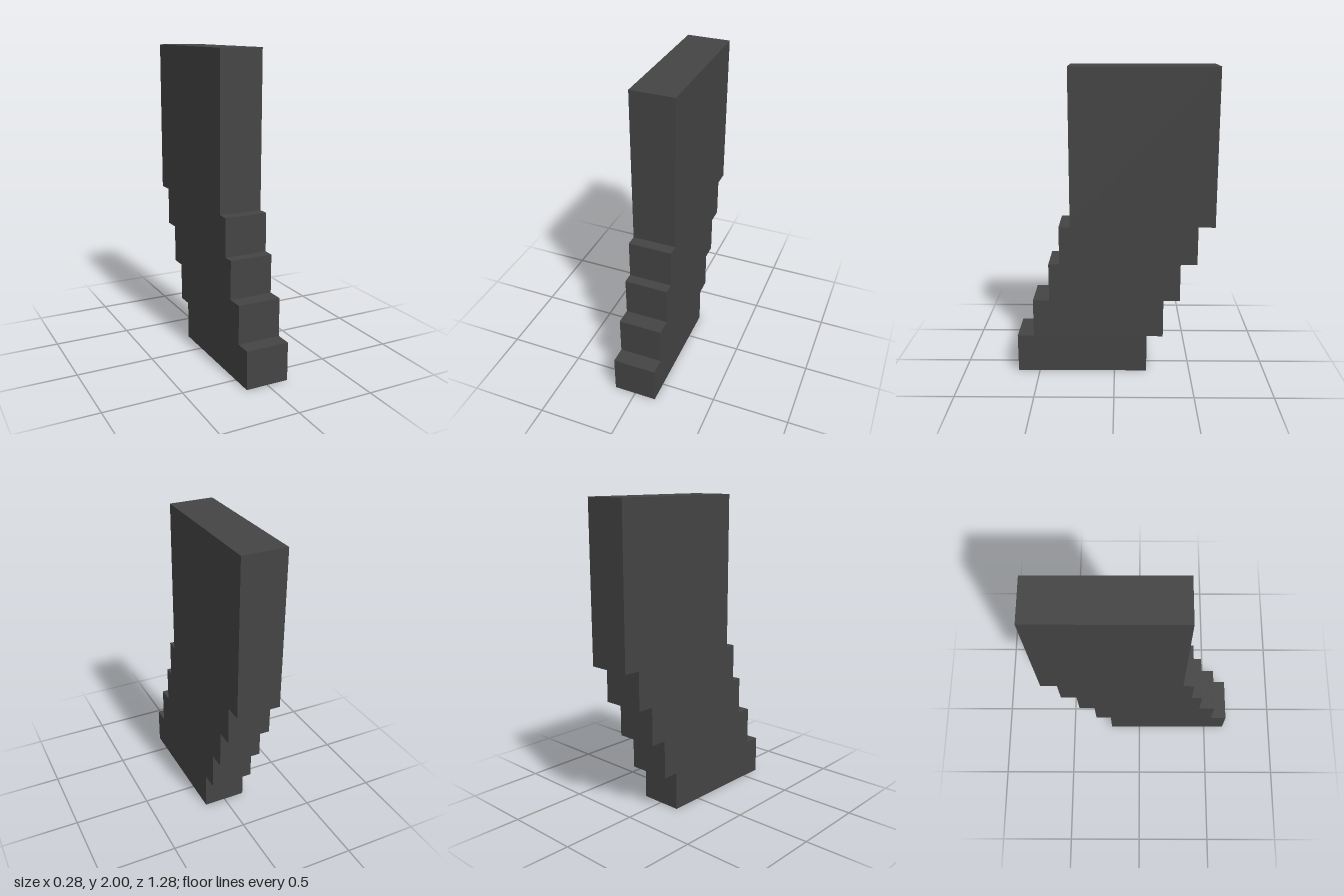
import * as THREE from 'three';

export function createModel() {
  const model = new THREE.Group();
  model.name = 'steppedPillar';
  const width = 0.283;

  // Courses from bottom to top: [top height, back z, front z]
  const courses = [
    [0.25, -0.213, 0.642],
    [0.5, -0.32, 0.534],
    [0.75, -0.427, 0.427],
    [1, -0.534, 0.356],
    [2, -0.642, 0.284],
  ];

  // Stepped side profile: up the front edge, then down the back edge
  const front = [], back = [];
  let bottom = 0;
  for (const [top, zBack, zFront] of courses) {
    front.push(new THREE.Vector2(zFront, bottom), new THREE.Vector2(zFront, top));
    back.push(new THREE.Vector2(zBack, bottom), new THREE.Vector2(zBack, top));
    bottom = top;
  }
  const profile = new THREE.Shape([...front, ...back.reverse()]);

  // Extrude across the width, turning the profile into the z-y plane
  const geometry = new THREE.ExtrudeGeometry(profile, { depth: width, bevelEnabled: false });
  geometry.translate(0, 0, -width / 2);
  geometry.rotateY(-Math.PI / 2);

  const pillar = new THREE.Mesh(
    geometry,
    new THREE.MeshStandardMaterial({ color: 0x444444, flatShading: true })
  );
  pillar.name = 'pillar';
  model.add(pillar);
  return model;
}
